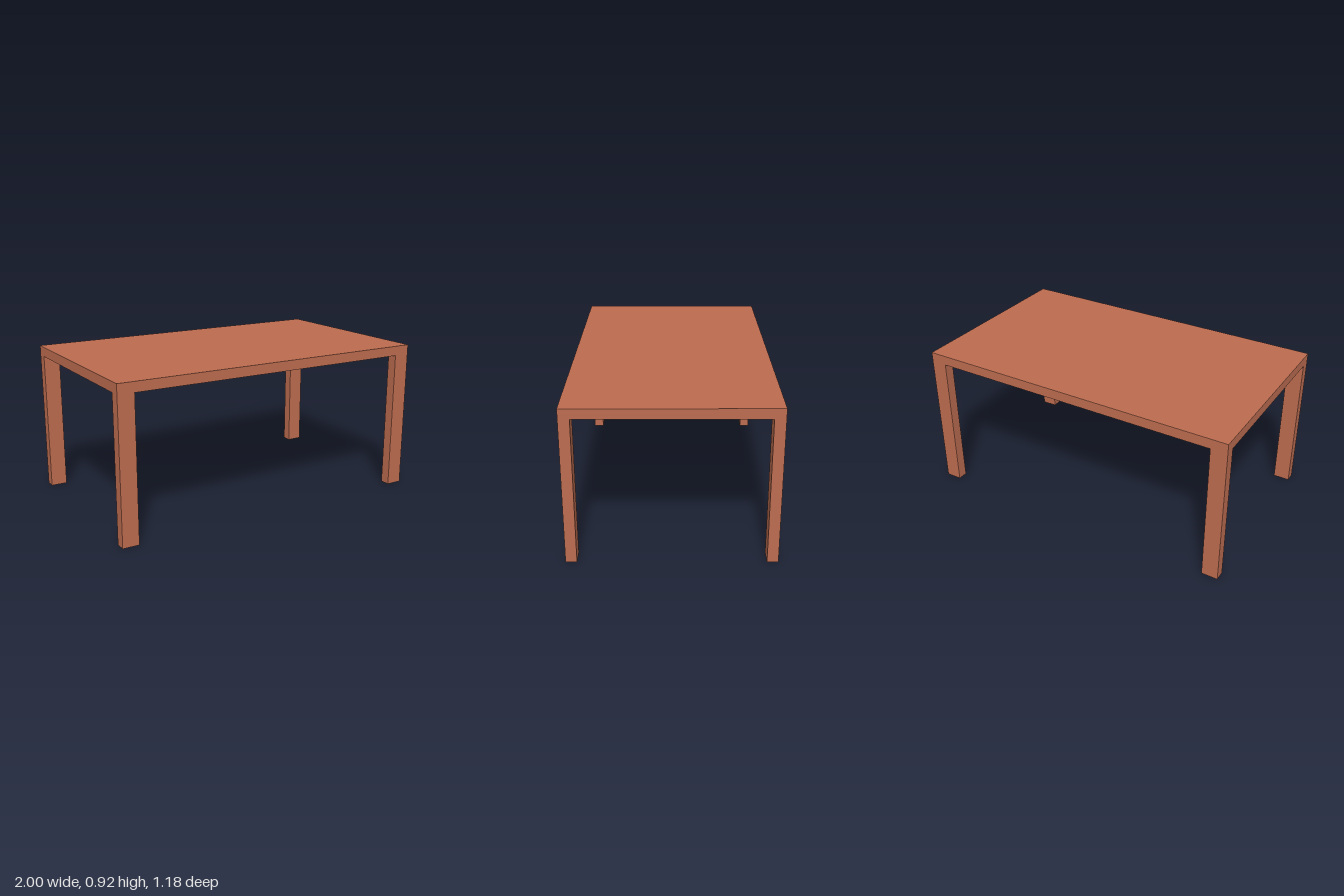
import * as THREE from 'three';

const WIDTH = 2, DEPTH = 1.18, HEIGHT = 0.92, TOP = 0.06;
const LEG_X = 0.1, LEG_Z = 0.063;

export function createModel() {
  const table = new THREE.Group();
  table.name = 'table';
  const material = new THREE.MeshStandardMaterial({ color: 0xbc6c50 });

  const addBox = (name, w, h, d, x, y, z) => {
    const mesh = new THREE.Mesh(new THREE.BoxGeometry(w, h, d), material);
    mesh.name = name;
    mesh.position.set(x, y, z);
    table.add(mesh);
  };

  // Flat slab top
  addBox('tableTop', WIDTH, TOP, DEPTH, 0, HEIGHT - TOP / 2, 0);

  // Four rectangular legs, flush with the corners of the top
  const legHeight = HEIGHT - TOP;
  for (const [side, sx] of [['Left', 1], ['Right', -1]]) {
    for (const [end, sz] of [['front', 1], ['back', -1]]) {
      addBox(`${end}${side}Leg`, LEG_X, legHeight, LEG_Z,
        sx * (WIDTH - LEG_X) / 2, legHeight / 2, sz * (DEPTH - LEG_Z) / 2);
    }
  }
  return table;
}
